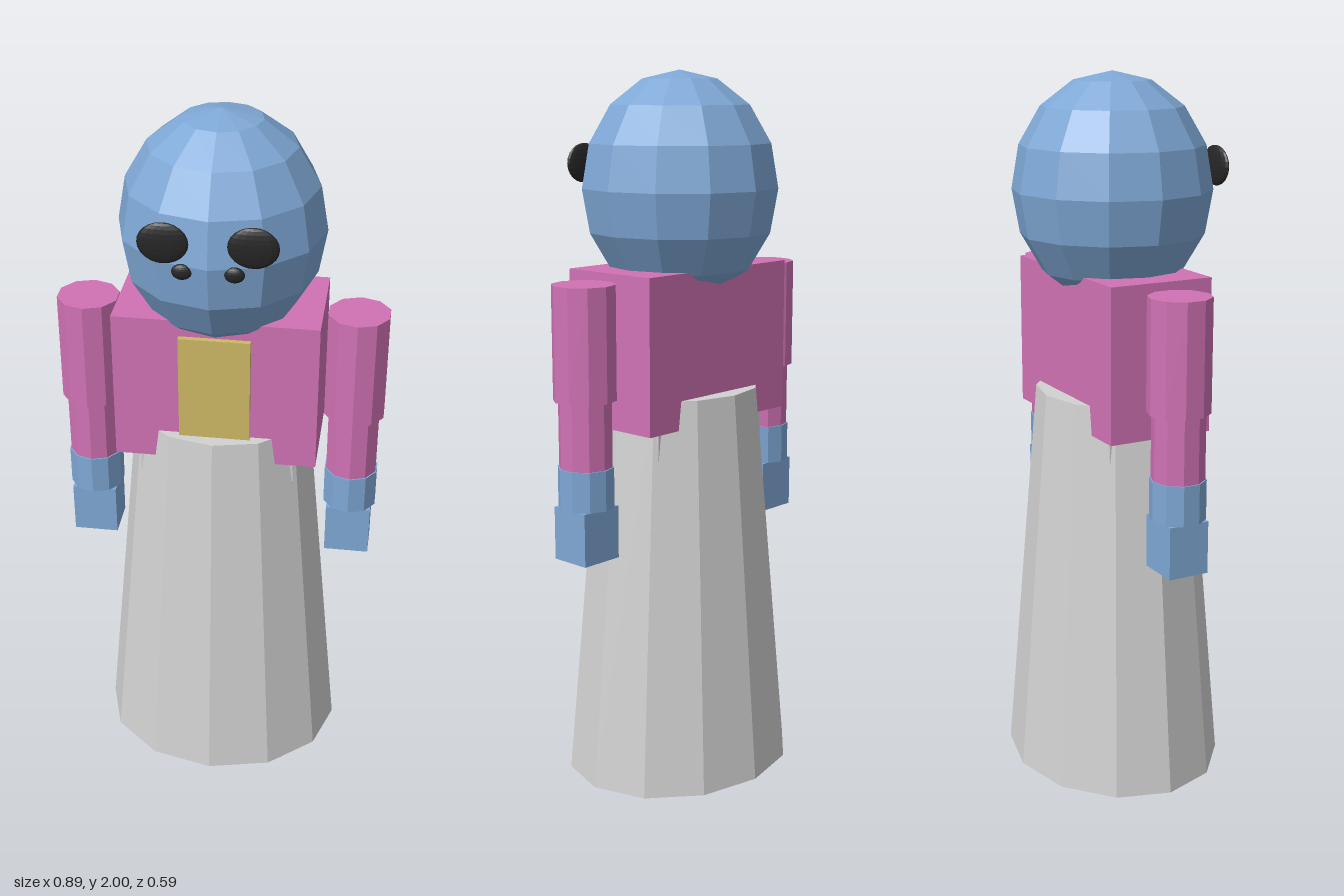
import * as THREE from 'three';

export function createModel() {
  const model = new THREE.Group();
  model.name = 'robedFigure';

  const material = (name, color) => {
    const m = new THREE.MeshStandardMaterial({ color, flatShading: true });
    m.name = name;
    return m;
  };
  const blue = material('blue skin', 0x7fa8d6);
  const pink = material('pink cloth', 0xd072b4);
  const grey = material('pale grey cloth', 0xd2d2d2);
  const yellow = material('yellow shirt', 0xcdba66);
  const black = material('black eyes', 0x262626);

  const add = (name, geometry, mat, x, y, z = 0) => {
    const mesh = new THREE.Mesh(geometry, mat);
    mesh.name = name;
    mesh.position.set(x, y, z);
    model.add(mesh);
    return mesh;
  };
  // Box and ten-sided limb placed by their bottom and top heights
  const box = (name, mat, w, y0, y1, d, x, z = 0) =>
    add(name, new THREE.BoxGeometry(w, y1 - y0, d), mat, x, (y0 + y1) / 2, z);
  const limb = (name, mat, r, y0, y1, x) =>
    add(name, new THREE.CylinderGeometry(r, r, y1 - y0, 10), mat, x, (y0 + y1) / 2);
  const ellipsoid = (name, mat, r, ws, hs, x, y, z) =>
    add(name, new THREE.SphereGeometry(1, ws, hs).scale(...r), mat, x, y, z);

  // Head, torso and shirt panel
  ellipsoid('head', blue, [0.272, 0.31, 0.272], 12, 8, 0, 1.69, 0);
  box('torso', pink, 0.546, 1.06, 1.48, 0.3, 0);
  box('shirtPanel', yellow, 0.19, 1.08, 1.435, 0.03, 0, 0.15);

  // Oval skirt, tapering upward
  const skirt = new THREE.CylinderGeometry(0.205, 0.295, 1.1, 12).scale(1.178, 1, 1);
  add('skirt', skirt, grey, 0, 0.59);

  for (const [side, s] of [['left', 1], ['right', -1]]) {
    // Arm
    limb(side + 'UpperArm', pink, 0.085, 1.155, 1.46, s * 0.364);
    limb(side + 'Forearm', pink, 0.072, 0.975, 1.155, s * 0.364);
    limb(side + 'Wrist', blue, 0.076, 0.865, 0.975, s * 0.364);
    box(side + 'Hand', blue, 0.124, 0.72, 0.865, 0.116, s * 0.364);

    // Leg under the skirt, and foot
    box(side + 'Leg', grey, 0.185, 0.06, 1.07, 0.24, s * 0.1175);
    box(side + 'Foot', grey, 0.18, 0, 0.06, 0.286, s * 0.117, 0.047);

    // Large and small eyes
    ellipsoid(side + 'Eye', black, [0.064, 0.054, 0.014], 16, 12, s * 0.111, 1.75, 0.257);
    ellipsoid(side + 'LowerEye', black, [0.026, 0.021, 0.012], 16, 12, s * 0.065, 1.675, 0.256);
  }
  return model;
}
